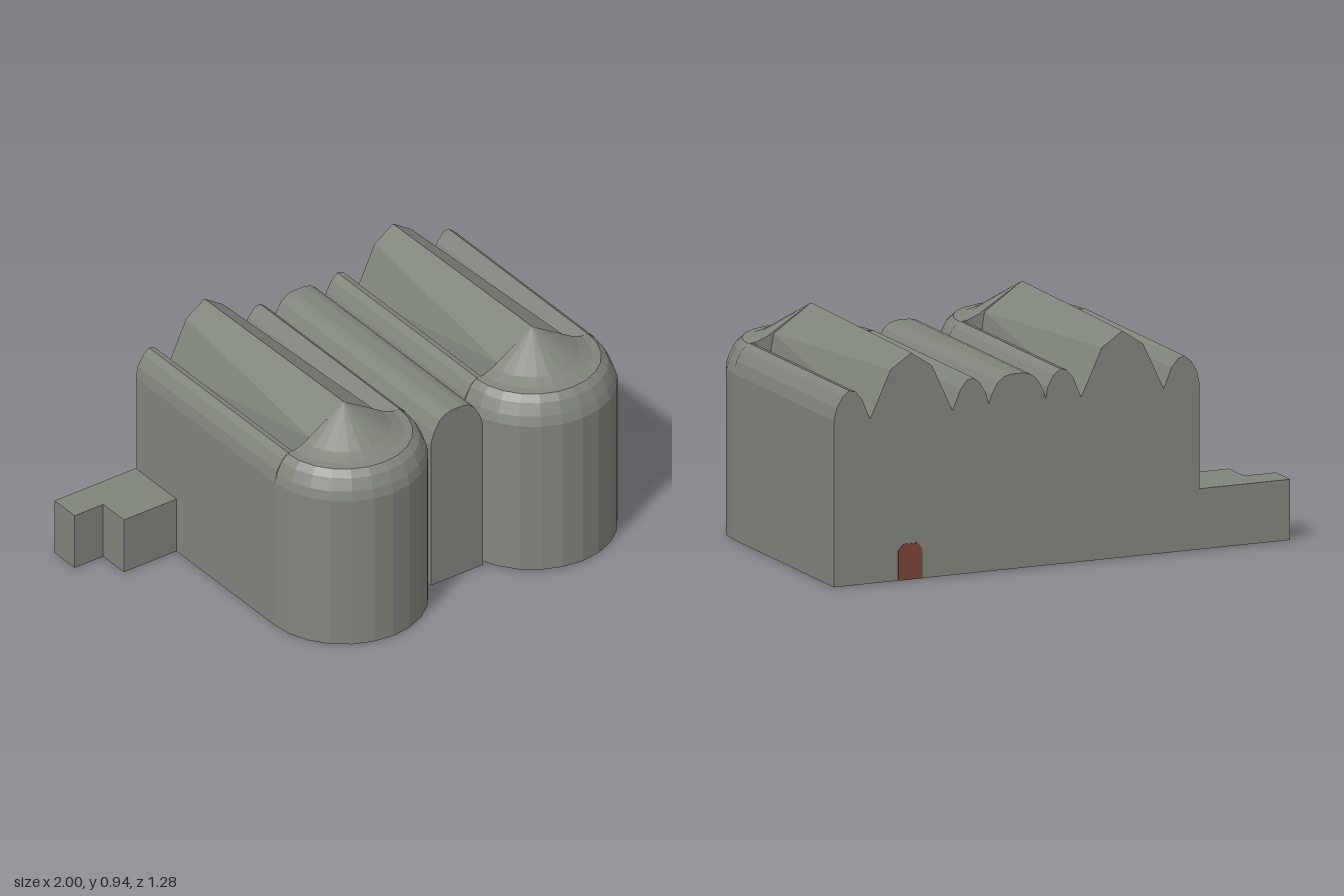
import * as THREE from 'three';
import { ConvexGeometry } from 'three/addons/geometries/ConvexGeometry.js';

const stone = new THREE.MeshStandardMaterial({ color: 0x80857c, flatShading: true, side: THREE.DoubleSide });
const doorPaint = new THREE.MeshStandardMaterial({ color: 0x7a4636, flatShading: true });
const dark = new THREE.MeshStandardMaterial({ color: 0x444444, flatShading: true });

const BACK = -0.64, APSE_Z = 0.3, FLOOR = 0.003;

function add(parent, name, geometry, material = stone) {
  const mesh = new THREE.Mesh(geometry, material);
  mesh.name = name;
  parent.add(mesh);
  return mesh;
}

// Closed outline from its right half, listed from the base up to the middle
function mirrored(half) {
  const left = half.filter(([x]) => x > 0).map(([x, y]) => [-x, y]).reverse();
  return new THREE.Shape([...half, ...left].map(([x, y]) => new THREE.Vector2(x, y)));
}

// Outline pushed along z between two planes
function prism(shape, z0, z1) {
  const g = new THREE.ExtrudeGeometry(shape, { depth: z1 - z0, bevelEnabled: false });
  return g.translate(0, 0, z0);
}

function createNave(name, x, radius) {
  const nave = new THREE.Group();
  nave.name = name;
  nave.position.x = x;

  // Long walls with a rounded side vault above each, and a valley inside it
  const walls = [[radius, FLOOR], [radius, 0.68], [0.327, 0.73], [0.3, 0.775], [0.272, 0.797],
    [0.245, 0.79], [0.215, 0.755], [0.18, 0.67]];
  add(nave, 'wallsAndSideVaults', prism(mirrored(walls), BACK, APSE_Z));

  // Central gable, broader at the apse than at the back
  const points = [];
  const sections = [
    [BACK, [[0, 0.925], [0.09, 0.865], [0.182, 0.67]]],
    [APSE_Z, [[0, 0.935], [0.165, 0.825], [0.19, 0.67]]],
  ];
  for (const [z, section] of sections)
    for (const [px, py] of section)
      for (const s of [-1, 1]) points.push(new THREE.Vector3(px * s, py, z));
  add(nave, 'gableRoof', new ConvexGeometry(points));

  // Half-round apse with an ogee roof
  const profile = [[0, FLOOR], [radius, FLOOR], [radius, 0.68], [0.327, 0.72], [0.303, 0.768],
    [0.275, 0.794], [0.24, 0.798], [0.19, 0.818], [0.1, 0.874], [0, 0.935]];
  const lathe = new THREE.LatheGeometry(
    profile.map(([r, y]) => new THREE.Vector2(r, y)), 12, -Math.PI / 2, Math.PI);
  add(nave, 'apse', lathe.translate(0, 0, APSE_Z));
  const wall = new THREE.ShapeGeometry(mirrored(profile.slice(1)));
  add(nave, 'apseBackWall', wall.translate(0, 0, APSE_Z + 0.001));
  return nave;
}

export function createModel() {
  const model = new THREE.Group();
  model.name = 'church';

  model.add(createNave('rightNave', -0.265, 0.337));
  model.add(createNave('leftNave', 0.66, 0.34));

  // Vaulted block between the naves
  const middle = [[0.128, FLOOR], [0.128, 0.67], [0.113, 0.72], [0.085, 0.768], [0.058, 0.788], [0.03, 0.796]];
  add(model, 'middleVault', prism(mirrored(middle), BACK, 0.43)).position.x = 0.196;

  // Low stepped annex
  const plan = [[-1, 0.64], [-0.59, 0.64], [-0.59, 0.365], [-0.86, 0.365], [-0.86, 0.505], [-1, 0.505]];
  const annex = prism(new THREE.Shape(plan.map(([x, y]) => new THREE.Vector2(x, y))), FLOOR, 0.25);
  add(model, 'annex', annex.rotateX(-Math.PI / 2));

  // Back door with clipped corners
  const door = mirrored([[0.053, FLOOR], [0.053, 0.125], [0.03, 0.15]]);
  add(model, 'backDoor', prism(door, BACK - 0.003, BACK + 0.01), doorPaint).position.x = 0.665;

  // Column feet showing in the underside
  for (const x of [0.5, 0.9])
    for (const z of [-0.31, -0.2, 0.03])
      add(model, 'columnFoot', new THREE.CylinderGeometry(0.022, 0.022, 0.02, 10), dark).position.set(x, 0.01, z);

  return model;
}
